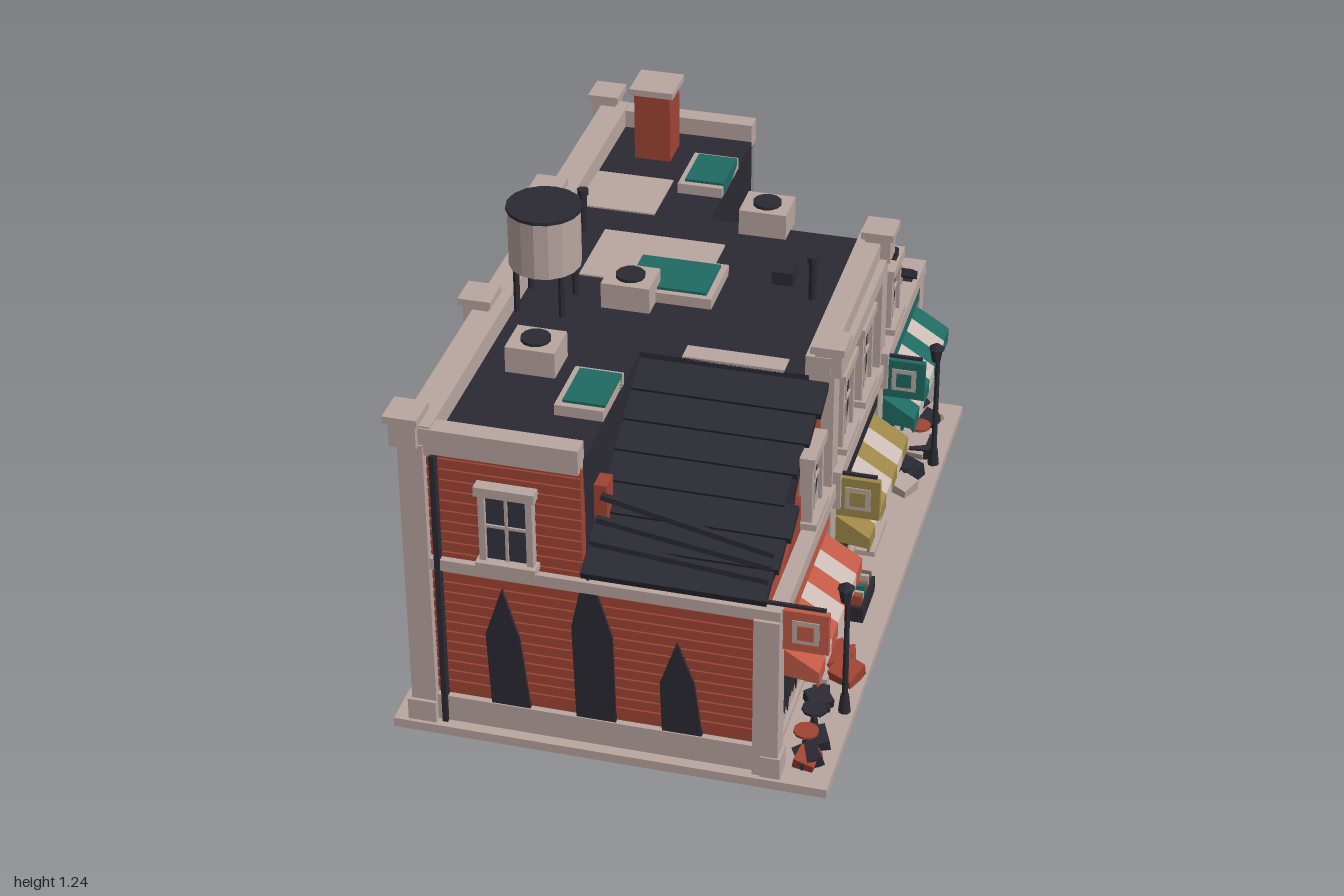
import * as THREE from 'three';

const TRIM = 0xb9a6a0, DARK = 0x2b2a33, RED = 0xa04434, GOLD = 0x7b693f, GREY = 0x85848e, TEAL = 0x1f6a62;
const BRIGHT = [0xc05a45, 0x9c8648, 0x1f6a62], WALL = [RED, GOLD, GREY], GLASS = 0x34343f;
const mats = {};
const mat = (c) => (mats[c] ??= new THREE.MeshStandardMaterial({ color: c, flatShading: true, side: THREE.DoubleSide }));

function add(parent, name, color, geo, x = 0, y = 0, z = 0) {
  const m = new THREE.Mesh(geo, mat(color));
  m.name = name;
  m.position.set(x, y, z);
  parent.add(m);
  return m;
}
// box given by its ranges along each axis
const box = (p, name, c, [x0, x1], [y0, y1], [z0, z1]) =>
  add(p, name, c, new THREE.BoxGeometry(x1 - x0, y1 - y0, z1 - z0), (x0 + x1) / 2, (y0 + y1) / 2, (z0 + z1) / 2);
const cyl = (p, name, c, r0, r1, [y0, y1], x, z, n = 12) =>
  add(p, name, c, new THREE.CylinderGeometry(r0, r1, y1 - y0, n), x, (y0 + y1) / 2, z);
const shape = (pts) => new THREE.Shape(pts.map((q) => new THREE.Vector2(...q)));
const plate = (p, name, c, pts, z, depth) =>
  add(p, name, c, new THREE.ExtrudeGeometry(shape(pts), { depth, bevelEnabled: false }), 0, 0, z);

function group(parent, name) {
  const g = new THREE.Group();
  g.name = name;
  parent.add(g);
  return g;
}

// row of jagged glass shards hanging from (or standing on) a frame edge
function shards(p, x0, x1, y, h, z) {
  const pts = [[x0, y]], n = 6;
  for (let i = 0; i <= n; i++) pts.push([x0 + ((x1 - x0) * i) / n, y + (i % 2 ? h : h * 0.25 * (1 + (i % 3)))]);
  pts.push([x1, y]);
  add(p, 'glassShards', TRIM, new THREE.ShapeGeometry(shape(pts)), 0, 0, z);
}

// sash window on a wall facing local +z
function sash(p, x, y0, w, h, broken) {
  const g = group(p, 'sashWindow'), a = w / 2, y1 = y0 + h;
  box(g, 'glass', GLASS, [x - a, x + a], [y0, y1], [0, 0.022]);
  for (const s of [-1, 1]) box(g, 'jamb', TRIM, [x + s * a - 0.009, x + s * a + 0.009], [y0, y1], [0, 0.035]);
  box(g, 'mullion', TRIM, [x - 0.004, x + 0.004], [y0, y1], [0, 0.028]);
  box(g, 'rail', TRIM, [x - a, x + a], [y0 + h * 0.5, y0 + h * 0.5 + 0.008], [0, 0.028]);
  box(g, 'lintel', TRIM, [x - a - 0.018, x + a + 0.018], [y1, y1 + 0.028], [0, 0.042]);
  box(g, 'sill', TRIM, [x - a - 0.018, x + a + 0.018], [y0 - 0.02, y0], [0, 0.05]);
  if (broken) {
    shards(g, x - a, x + a, y0, 0.06, 0.025);
    shards(g, x - a, x + a, y1, -0.05, 0.025);
  }
}

function door(p, x, c, glazed) {
  const g = group(p, 'door');
  box(g, 'doorFrame', TRIM, [x - 0.075, x + 0.075], [0.03, 0.325], [0, 0.02]);
  box(g, 'doorLeaf', c, [x - 0.06, x + 0.06], [0.035, 0.305], [0, 0.03]);
  if (glazed) {
    box(g, 'doorGlass', GLASS, [x - 0.04, x + 0.04], [0.15, 0.275], [0, 0.034]);
    shards(g, x - 0.04, x + 0.04, 0.15, 0.04, 0.036);
    shards(g, x - 0.04, x + 0.04, 0.275, -0.05, 0.036);
  } else for (const y of [0.06, 0.18]) box(g, 'doorPanel', DARK, [x - 0.035, x + 0.035], [y, y + 0.1], [0, 0.032]);
  box(g, 'doorKnob', TRIM, [x + 0.044, x + 0.052], [0.15, 0.165], [0, 0.04]);
  box(g, 'doorStep', TRIM, [x - 0.09, x + 0.09], [0.025, 0.045], [0, 0.08]);
}

function awning(p, x0, x1, c) {
  const g = group(p, 'awning'), n = 7, w = (x1 - x0) / n;
  const sheet = [[0, 0.44], [0.135, 0.355], [0.135, 0.31], [0.129, 0.31], [0.129, 0.345], [0, 0.43]];
  const cheek = [[0, 0.435], [0.132, 0.352], [0.132, 0.32], [0, 0.335]];
  const profile = (pts, depth, x, col, name) => add(g, name, col,
    new THREE.ExtrudeGeometry(shape(pts), { depth, bevelEnabled: false }).rotateY(-Math.PI / 2), x + depth, 0, 0);
  for (let i = 0; i < n; i++) profile(sheet, w, x0 + i * w, i % 2 ? 0xcbbab4 : c, 'awningStripe');
  for (const x of [x0, x1 - 0.004]) profile(cheek, 0.004, x, c, 'awningCheek');
}

// ground-floor shop; u is the bay centre
function shop(p, i, u) {
  const g = group(p, 'shopfront'), x0 = u - 0.28, x1 = u + 0.28, c = BRIGHT[i];
  box(g, 'shopWall', i === 1 ? GOLD : WALL[i], [x0, x1], [0.03, 0.45], [-0.03, 0.005]);
  const a = x0 + 0.02, b = x0 + 0.33;
  box(g, 'windowFrame', TRIM, [a, b], [0.1, 0.33], [0, 0.02]);
  box(g, 'stallRiser', c, [a + 0.01, b - 0.01], [0.04, 0.1], [0, 0.02]);
  for (let k = 0; k < 3; k++) {
    const l = a + 0.012 + (k * (b - a - 0.012)) / 3, r = l + (b - a) / 3 - 0.016;
    box(g, 'shopGlass', DARK, [l, r], [0.115, 0.32], [0, 0.024]);
    shards(g, l, r, 0.115, 0.04, 0.026);
  }
  box(g, 'windowSill', TRIM, [a - 0.01, b + 0.01], [0.095, 0.112], [0, 0.035]);
  door(g, u + 0.19, c, true);
  box(g, 'signFrame', TRIM, [x0, x1], [0.44, 0.525], [0, 0.03]);
  box(g, 'signBoard', [0xc05a45, DARK, TEAL][i], [x0 + 0.012, x1 - 0.012], [0.45, 0.513], [0, 0.04]);
  box(g, 'shopCornice', TRIM, [x0 - 0.02, x1 + 0.02], [0.525, 0.57], [-0.03, 0.05]);
  awning(g, x0 + 0.01, x1 - 0.01, c);
  // projecting sign, across the pavement
  const s = u - 0.315, h = group(g, 'bladeSign');
  box(h, 'bracket', DARK, [s - 0.005, s + 0.005], [0.592, 0.6], [0, 0.16]);
  box(h, 'signPlate', c, [s - 0.01, s + 0.01], [0.46, 0.585], [0.048, 0.17]);
  box(h, 'signBorder', TRIM, [s - 0.013, s + 0.013], [0.487, 0.558], [0.073, 0.145]);
  box(h, 'signCentre', c, [s - 0.016, s + 0.016], [0.5, 0.545], [0.087, 0.131]);
}

// stepped sheets of the fallen roof, sliding from (z0,y0) to (z1,y1)
function fallenRoof(p, z0, y0, z1, y1, xEnd) {
  const g = group(p, 'fallenRoof'), n = 7, dz = (z1 - z0) / n, dy = (y1 - y0) / n;
  for (let i = 0; i < n; i++) {
    const x1 = xEnd - 0.012 * ((i * 5) % 4), len = Math.hypot(dz, dy) * 1.12;
    const m = box(g, 'roofSheet', DARK, [-0.07, x1], [-0.012, 0.012], [-len / 2, len / 2]);
    m.position.y = y0 + dy * (i + 0.5);
    m.position.z = z0 + dz * (i + 0.5);
    m.rotation.x = -Math.atan2(dy, Math.abs(dz)) * Math.sign(dz) - 0.1 * Math.sign(dz);
  }
  for (let i = 0; i < 3; i++) {
    const m = box(g, 'brokenRafter', DARK, [-0.24, 0.24], [-0.008, 0.008], [-0.008, 0.008]);
    m.position.set(0.19, y1 + 0.07 + i * 0.03, z1 - Math.sign(dz) * (0.03 + i * 0.04));
    m.rotation.z = -0.08 - i * 0.07;
  }
}

function pier(p, x, z) {
  box(p, 'pierBlock', TRIM, [x - 0.037, x + 0.037], [0.925, 1.0], [z - 0.037, z + 0.037]);
  box(p, 'pierCap', TRIM, [x - 0.047, x + 0.047], [1.0, 1.022], [z - 0.05, z + 0.05]);
}

export function createModel() {
  const root = new THREE.Group();
  root.name = 'shopRow';
  const face = (name, angle, x, z) => {
    const g = group(root, name);
    g.rotation.y = angle;
    g.position.set(x, 0, z);
    return g;
  };
  const east = face('shopSide', Math.PI / 2, 0.43, 0), west = face('rearSide', -Math.PI / 2, -0.52, 0);
  const north = face('brickEnd', 0, 0, 0.93), south = face('boardedEnd', Math.PI, 0, -0.93);

  // base and dark core with flat roof
  box(root, 'pavement', TRIM, [-0.61, 0.61], [0, 0.028], [-0.98, 0.98]);
  box(root, 'lowerCore', DARK, [-0.5, 0.4], [0.028, 0.54], [-0.91, 0.91]);
  box(root, 'roofCore', DARK, [-0.5, -0.07], [0.54, 0.925], [-0.91, 0.91]);
  box(root, 'roofCoreMiddle', DARK, [-0.07, 0.4], [0.54, 0.925], [-0.4, 0.36]);
  plate(east, 'rubbleFill', DARK, [[-0.36, 0.54], [-0.36, 0.9], [-0.92, 0.57], [-0.92, 0.54]], -0.5, 0.49);
  plate(east, 'rubbleFill', DARK, [[0.4, 0.5], [0.4, 0.89], [0.92, 0.45], [0.92, 0.4]], -0.5, 0.49);
  fallenRoof(root, 0.36, 0.9, 0.95, 0.59, 0.455);
  fallenRoof(root, -0.4, 0.91, -0.97, 0.45, 0.475);
  box(root, 'wallStump', RED, [-0.07, -0.035], [0.6, 0.79], [0.76, 0.82]);

  // shop side
  [-0.635, 0, 0.635].forEach((u, i) => shop(east, i, u));
  plate(east, 'brokenFacade', RED, [[-0.92, 0.54], [-0.35, 0.54], [-0.35, 0.9], [-0.42, 0.8], [-0.46, 0.84], [-0.5, 0.74],
    [-0.58, 0.68], [-0.63, 0.58], [-0.7, 0.62], [-0.78, 0.57], [-0.92, 0.58]], -0.02, 0.025);
  plate(east, 'brokenFacade', GREY, [[0.35, 0.54], [0.92, 0.54], [0.85, 0.57], [0.68, 0.71], [0.62, 0.78], [0.55, 0.78],
    [0.47, 0.86], [0.4, 0.9], [0.35, 0.9]], -0.02, 0.025);
  box(east, 'middleFacade', GOLD, [-0.3, 0.3], [0.54, 0.9], [-0.03, 0.005]);
  for (const u of [-0.125, 0.125]) sash(east, u, 0.6, 0.13, 0.21, true);
  sash(east, -0.51, 0.6, 0.12, 0.18, true);
  sash(east, 0.53, 0.6, 0.12, 0.17, true);
  box(east, 'facadeCornice', TRIM, [-0.3, 0.3], [0.89, 0.935], [-0.03, 0.05]);
  box(east, 'shopParapet', TRIM, [-0.36, 0.36], [0.925, 0.985], [-0.04, 0.03]);
  for (const u of [-0.32, 0.32]) {
    box(east, 'pilaster', TRIM, [u - 0.035, u + 0.035], [0.028, 0.93], [-0.03, 0.04]);
    box(east, 'console', TRIM, [u - 0.02, u + 0.02], [0.49, 0.61], [0.03, 0.062]);
    pier(root, 0.452, u);
  }
  for (const u of [-0.935, 0.935]) box(east, 'cornerPilaster', TRIM, [u - 0.03, u + 0.03], [0.028, 0.54], [-0.03, 0.04]);

  // rear side: three bays, each with a door below and two windows above
  [-0.635, 0, 0.635].forEach((u, k) => {
    const i = 2 - k, d = [-0.7, 0, 0.56][k];
    box(west, 'rearWall', WALL[i], [u - 0.29, u + 0.29], [0.028, 0.9], [-0.03, 0.005]);
    for (const s of [-0.125, 0.125]) sash(west, u + s, 0.6, 0.13, 0.21, false);
    door(west, d, [RED, GOLD, TEAL][i], false);
    box(west, 'doorLamp', DARK, [d - 0.015, d + 0.015], [0.35, 0.39], [0, 0.035]);
    box(west, 'rearPlinth', TRIM, [u - 0.29, d - 0.08], [0.028, 0.08], [0, 0.02]);
    box(west, 'rearPlinth', TRIM, [d + 0.08, u + 0.29], [0.028, 0.08], [0, 0.02]);
  });
  box(west, 'stringCourse', TRIM, [-0.95, 0.95], [0.535, 0.575], [-0.02, 0.025]);
  box(west, 'rearParapet', TRIM, [-0.95, 0.95], [0.895, 0.985], [-0.05, 0.03]);
  for (const z of [-0.945, -0.32, 0.32, 0.935]) {
    const e = Math.abs(z) > 0.5 ? 0.025 : 0.035;
    box(west, 'pilaster', TRIM, [z - e, z + e], [0.028, 0.93], [-0.03, 0.04]);
    box(west, 'pilasterBase', TRIM, [z - e - 0.01, z + e + 0.01], [0.028, 0.095], [-0.03, 0.05]);
    pier(root, -0.54, z);
  }

  // end walls (local x is mirrored on the boarded end)
  for (const [w, s, c] of [[north, 1, RED], [south, -1, GREY]]) {
    const span = (a, b) => (s > 0 ? [a, b] : [-b, -a]);
    box(w, 'lowerWall', c, span(-0.52, 0.43), [0.028, s > 0 ? 0.56 : 0.5], [-0.03, 0]);
    box(w, 'upperWall', c, span(-0.52, -0.07), [0.5, 0.9], [-0.03, 0]);
    box(w, 'plinth', TRIM, span(-0.52, 0.43), [0.028, 0.11], [0, 0.018]);
    box(w, 'stringCourse', TRIM, span(-0.55, s > 0 ? 0.47 : -0.07), [0.535, 0.57], [0, 0.025]);
    box(w, 'endParapet', TRIM, span(-0.53, -0.07), [0.905, 0.98], [-0.03, 0.025]);
    for (const x of [-0.54, 0.45]) {
      box(w, 'cornerPilaster', TRIM, span(x - 0.02, x + 0.02), [0.028, x < 0 ? 0.93 : 0.54], [-0.03, 0.03]);
      box(w, 'cornerBase', TRIM, span(x - 0.028, x + 0.028), [0.028, 0.095], [-0.03, 0.04]);
    }
    for (let y = 0.13; y < 0.89; y += 0.033) {
      if (s < 0 && y > 0.45 && y < 0.5) continue;
      const course = box(w, 'wallCourse', c, span(-0.52, y > 0.5 ? -0.07 : 0.43), [y, y + (s > 0 ? 0.026 : 0.033)], [-0.004, 0.006]);
      if (s < 0) course.rotation.x = -0.3;
    }
    sash(w, -0.27 * s, 0.6, 0.13, 0.205, false);
    box(w, 'downpipe', DARK, span(-0.475, -0.46), [0.028, 0.9], [0, 0.03]);
  }
  // jagged breaches in the brick end
  for (const pts of [
    [[-0.335, 0.11], [-0.345, 0.34], [-0.295, 0.495], [-0.25, 0.34], [-0.225, 0.11]],
    [[-0.095, 0.11], [-0.103, 0.41], [-0.08, 0.52], [-0.055, 0.58], [-0.028, 0.52], [0.01, 0.39], [0.016, 0.11]],
    [[0.145, 0.11], [0.14, 0.27], [0.187, 0.41], [0.235, 0.28], [0.256, 0.11]],
  ]) plate(north, 'wallBreach', DARK, pts, 0, 0.014);

  // rooftop
  for (const [x, z, w, d] of [[-0.358, -0.49, 0.245, 0.215], [-0.17, -0.128, 0.36, 0.265], [0.19, 0.33, 0.285, 0.06]])
    box(root, 'roofPatch', TRIM, [x - w / 2, x + w / 2], [0.92, 0.93], [z - d / 2, z + d / 2]);
  for (const [x1, z] of [[-0.07, -0.633], [0.06, -0.005], [-0.07, 0.622]]) {
    box(root, 'skylightCurb', TRIM, [-0.205, x1], [0.92, 0.957], [z - 0.1, z + 0.1]);
    box(root, 'skylightGlass', TEAL, [-0.187, x1 < 0 ? x1 : x1 - 0.018], [0.92, 0.965], [z - 0.082, z + 0.082]);
  }
  for (const [x, z] of [[-0.17, 0.1], [-0.325, 0.49], [0.1, -0.4]]) {
    box(root, 'ventUnit', TRIM, [x - 0.07, x + 0.07], [0.92, 1.003], [z - 0.06, z + 0.06]);
    cyl(root, 'ventFan', DARK, 0.042, 0.042, [1.0, 1.012], x, z);
  }
  for (const [x, z] of [[0.32, -0.035], [-0.41, -0.245]]) {
    cyl(root, 'stackPipe', DARK, 0.012, 0.012, [0.92, 1.05], x, z, 8);
    cyl(root, 'stackCap', DARK, 0.017, 0.017, [1.045, 1.062], x, z, 8);
  }
  box(root, 'roofBox', DARK, [0.19, 0.25], [0.92, 0.965], [-0.145, -0.085]);
  box(root, 'chimney', RED, [-0.388, -0.278], [0.92, 1.145], [-0.825, -0.715]);
  box(root, 'chimneyCap', TRIM, [-0.4, -0.266], [1.14, 1.16], [-0.838, -0.703]);
  const tank = group(root, 'waterTank');
  cyl(tank, 'tankBody', TRIM, 0.102, 0.102, [1.055, 1.23], -0.395, 0.17, 16);
  cyl(tank, 'tankLid', DARK, 0.106, 0.106, [1.226, 1.236], -0.395, 0.17, 16);
  for (const a of [-0.065, 0.065]) for (const b of [-0.065, 0.065]) cyl(tank, 'tankLeg', DARK, 0.009, 0.009, [0.92, 1.06], -0.395 + a, 0.17 + b, 6);

  // street furniture
  for (const z of [0.635, -0.635]) {
    const g = group(root, 'streetLamp');
    cyl(g, 'lampBase', DARK, 0.012, 0.018, [0.028, 0.085], 0.582, z, 8);
    cyl(g, 'lampPost', DARK, 0.007, 0.009, [0.08, 0.41], 0.582, z, 8);
    cyl(g, 'lantern', DARK, 0.022, 0.014, [0.4, 0.445], 0.577, z, 6);
    cyl(g, 'lanternCap', DARK, 0.004, 0.026, [0.445, 0.462], 0.577, z, 6);
  }
  box(root, 'bookCart', DARK, [0.49, 0.55], [0.045, 0.095], [0.085, 0.25]);
  for (let i = 0; i < 9; i++) box(root, 'book', [RED, TEAL, TRIM, GOLD][i % 4], [0.5, 0.54], [0.09, 0.115 + 0.006 * (i % 3)], [0.09 + i * 0.017, 0.102 + i * 0.017]);
  for (const [z, c] of [[0.84, RED], [0.74, DARK], [-0.5, DARK], [-0.72, RED]]) {
    cyl(root, 'tableTop', c, 0.035, 0.035, [0.1, 0.108], 0.52, z, 10);
    cyl(root, 'tableLeg', DARK, 0.006, 0.015, [0.028, 0.1], 0.52, z, 8);
  }
  for (let i = 0; i < 26; i++) {
    const r = (k) => Math.abs(Math.sin(i * 12.99 + k * 78.23) * 43.758) % 1, s = 0.015 + 0.025 * r(1);
    const z = (i % 2 ? -1 : 1) * (0.42 + 0.5 * r(2));
    const m = box(root, 'rubble', [DARK, TRIM, RED, DARK][i % 4], [-s, s], [-s * 0.6, s * 0.6], [-s, s]);
    m.position.set(0.5 + 0.06 * r(3), 0.028 + s * 0.6, z);
    m.rotation.set(0.4 * r(4), 3 * r(5), 0.3 * r(6));
  }
  return root;
}
